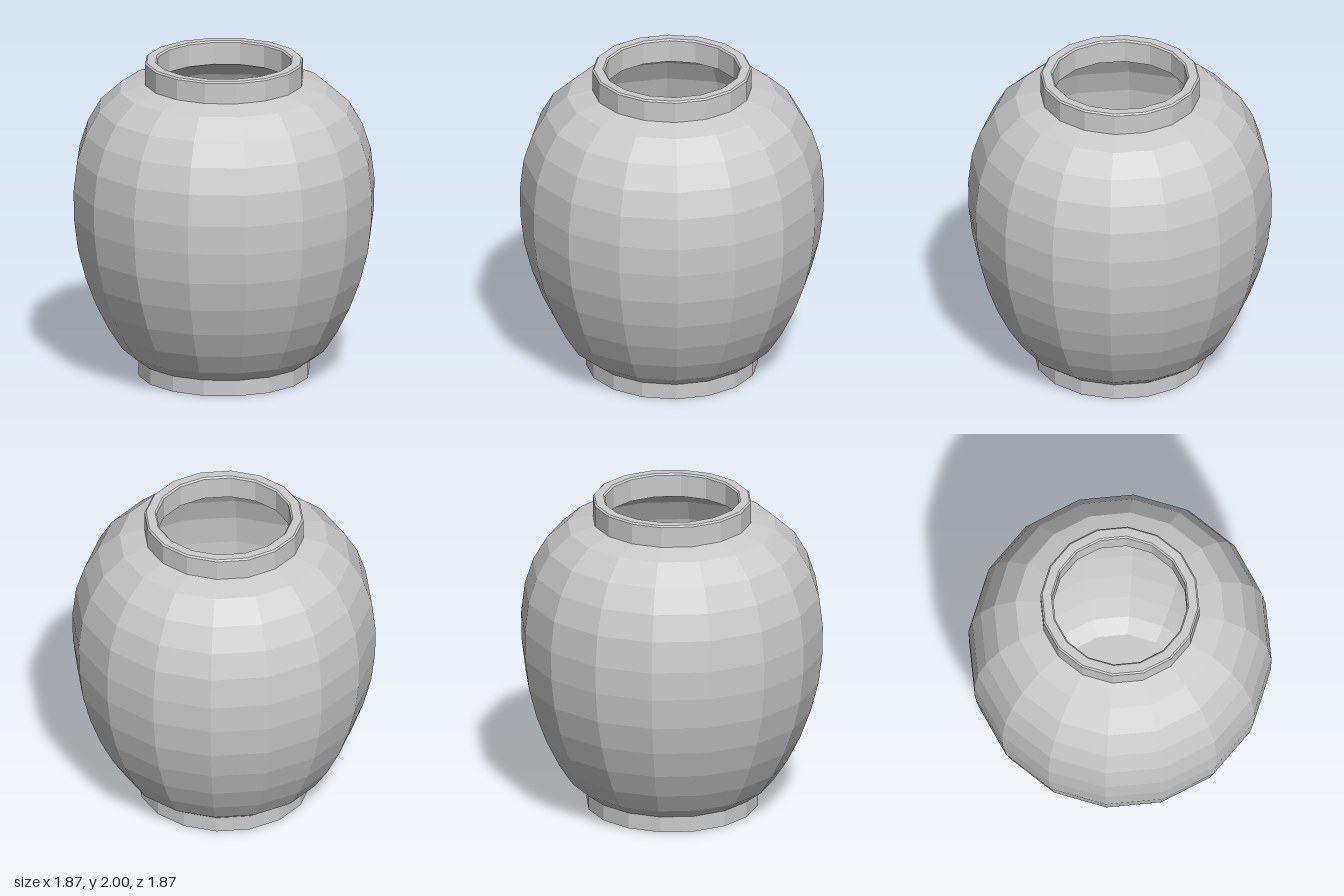
import * as THREE from 'three';

const SIDES = 16;

export function createModel() {
  const group = new THREE.Group();
  group.name = 'jar';
  const material = new THREE.MeshStandardMaterial({ color: 0xcccccc, flatShading: true });

  // Turns a [radius, height] profile; running upwards faces out, downwards faces in
  const turn = (name, profile) => {
    const points = profile.map(([r, y]) => new THREE.Vector2(r, y));
    const mesh = new THREE.Mesh(new THREE.LatheGeometry(points, SIDES), material);
    mesh.name = name;
    group.add(mesh);
  };

  // Flat base and straight foot ring
  turn('foot', [[0, 0], [0.53, 0], [0.53, 0.1]]);

  // Swelling belly up to the shoulder
  const belly = [
    [0.63, 0.175], [0.715, 0.305], [0.795, 0.465], [0.86, 0.64], [0.908, 0.825], [0.932, 1.02],
    [0.935, 1.2], [0.912, 1.395], [0.86, 1.555], [0.777, 1.7], [0.645, 1.82],
  ];
  turn('body', [[0.53, 0.1], ...belly, [0.49, 1.86]]);

  // Upright neck with small bevels on both edges of the rim
  turn('neck', [[0.49, 1.86], [0.49, 1.99], [0.48, 2], [0.425, 2], [0.415, 1.99], [0.415, 1.85]]);

  // Hollow inside, following the belly at wall thickness, down to the floor
  const inner = belly.map(([r, y]) => [r - 0.065, Math.min(y, 1.78)]).reverse();
  turn('innerWall', [[0.415, 1.85], ...inner, [0.47, 0.11], [0, 0.11]]);

  return group;
}
